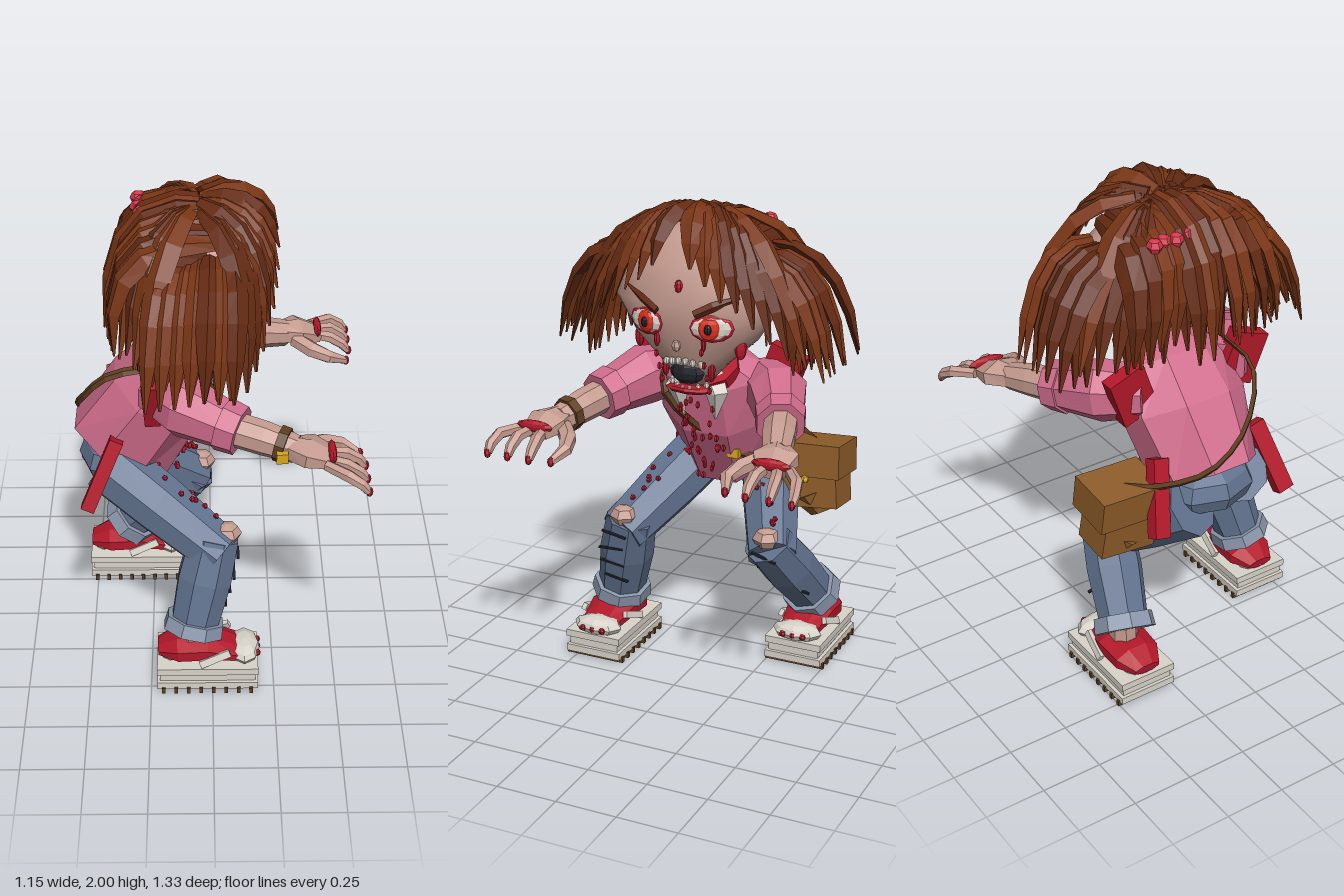
import * as THREE from 'three';

const C = { skin: 0xc69c90, pink: 0xcf6c8c, jean: 0x62738f, cuff: 0x8b97ac, red: 0xb3182a, hair: 0x7a3616, hairDark: 0x642a12,
  white: 0xd9d4ca, brown: 0x8f5d2a, strap: 0x5f3f20, gold: 0xd8a818, black: 0x22242c, eye: 0xe0301c, clip: 0xd8364c };
const V = (a) => new THREE.Vector3(...a);
let seed = 7;
const rnd = () => ((seed = (seed * 16807) % 2147483647) / 2147483647) * 2 - 1;

export function createModel() {
  const root = new THREE.Group();
  root.name = 'character';
  const mats = {};
  const mat = (color, smooth) => (mats[color + '_' + smooth] ??= new THREE.MeshStandardMaterial({ color, flatShading: !smooth }));
  const add = (name, geo, color, smooth = false) => {
    const m = new THREE.Mesh(geo, mat(color, smooth));
    m.name = name;
    root.add(m);
    return m;
  };

  // Closed skin through cross-sections: half-width w sideways, h along "up"
  function sweep(name, pts, sizes, color, n = 8, up = [0, 1, 0], smooth = false) {
    const P = pts.map(V), pos = [], idx = [], U0 = V(up), last = P.length - 1;
    P.forEach((p, i) => {
      const T = P[Math.min(i + 1, last)].clone().sub(P[Math.max(i - 1, 0)]).normalize();
      const S = U0.clone().cross(T).normalize(), U = T.clone().cross(S);
      const s = sizes[Math.min(i, sizes.length - 1)], [w, h] = Array.isArray(s) ? s : [s, s];
      for (let j = 0; j < n; j++) {
        const a = ((j + (n > 4 ? 0.5 : 0)) / n) * Math.PI * 2;
        const q = p.clone().addScaledVector(S, w * Math.cos(a)).addScaledVector(U, h * Math.sin(a));
        pos.push(q.x, q.y, q.z);
      }
    });
    pos.push(...P[0].toArray(), ...P[last].toArray());
    for (let j = 0; j < n; j++) {
      const k = (j + 1) % n;
      for (let i = 0; i < last; i++) {
        const a = i * n + j, b = i * n + k;
        idx.push(a, b, b + n, a, b + n, a + n);
      }
      idx.push((last + 1) * n, k, j, (last + 1) * n + 1, last * n + j, last * n + k);
    }
    const g = new THREE.BufferGeometry();
    g.setAttribute('position', new THREE.Float32BufferAttribute(pos, 3));
    g.setIndex(idx);
    g.computeVertexNormals();
    return add(name, g, color, smooth);
  }
  const box = (name, p, size, color, rot = [0, 0, 0]) => {
    const m = add(name, new THREE.BoxGeometry(...size), color);
    m.position.set(...p);
    m.rotation.set(...rot);
    return m;
  };
  const blob = (name, p, r, color, seg = 8, smooth = false) => {
    const m = add(name, new THREE.SphereGeometry(1, seg, Math.max(4, seg - 2)), color, smooth);
    m.position.set(...p);
    m.scale.set(...r);
    return m;
  };
  const curve = (pts, k) => new THREE.CatmullRomCurve3(pts.map(V)).getPoints(k).map((p) => p.toArray());

  // Leaning torso and hips
  sweep('torso', [[-0.37, 0.87, 0], [-0.22, 1.11, 0], [-0.12, 1.28, 0], [-0.06, 1.36, 0]],
    [[0.23, 0.21], [0.21, 0.26], [0.14, 0.23], [0.07, 0.09]], C.pink, 8, [0, 0, 1]);
  blob('hips', [-0.37, 0.83, 0], [0.17, 0.12, 0.21], C.jean);
  sweep('neck', [[-0.09, 1.26, 0], [0.02, 1.4, 0]], [0.085], C.skin, 8, [0, 0, 1]);
  sweep('neckBand', [[-0.07, 1.28, 0], [-0.04, 1.32, 0]], [[0.12, 0.15]], C.red, 10, [0, 0, 1]);

  // Head, with a helper giving the x of the face surface
  const rings = [[0.04, 1.27, 0.07, 0.07], [0.04, 1.35, 0.1, 0.14], [0.03, 1.46, 0.16, 0.26], [0.02, 1.6, 0.2, 0.35],
    [0, 1.75, 0.17, 0.31], [-0.01, 1.86, 0.11, 0.2], [-0.01, 1.91, 0.03, 0.05]];
  sweep('head', rings.map(([x, y]) => [x, y, 0]), rings.map((r) => [r[2], r[3]]), C.skin, 16, [0, 0, 1], true);
  const faceX = (y, z) => {
    const i = Math.max(1, rings.findIndex((r) => r[1] >= y)), a = rings[i - 1], b = rings[i];
    const [cx, , w, h] = a.map((v, k) => THREE.MathUtils.lerp(v, b[k], (y - a[1]) / (b[1] - a[1])));
    return cx + w * Math.sqrt(Math.max(0, 1 - (z / h) ** 2));
  };
  const onFace = (name, y, z, ry, rz, color, out = 0, thick = 0.015) => {
    const m = blob(name, [faceX(y, z) + out, y, z], [thick, ry, rz], color);
    m.rotation.y = -z * 2.4;
    return m;
  };
  for (const s of [1, -1]) {
    onFace('eyeRim', 1.54, s * 0.14, 0.058, 0.088, C.red);
    onFace('eyeWhite', 1.54, s * 0.14, 0.046, 0.078, C.white, 0.007);
    onFace('iris', 1.54, s * 0.135, 0.045, 0.045, C.eye, 0.016);
    onFace('pupil', 1.54, s * 0.135, 0.022, 0.016, C.black, 0.027);
    sweep('eyebrow', [[0.08, 1.595], [0.15, 1.63], [0.24, 1.665]].map(([z, y]) => [faceX(y, z) + 0.01, y, s * z]),
      [[0.012, 0.018], [0.012, 0.02], 0.006], C.hairDark, 4);
    onFace('cheekBlood', 1.44, s * 0.22, 0.045, 0.024, C.red, 0.004);
    onFace('tearBlood', 1.47, s * 0.1, 0.035, 0.01, C.red);
    for (let k = 0; k < 3; k++) onFace('tooth', 1.383 - k * 0.006, s * (0.015 + k * 0.03), 0.016, 0.013, C.white, 0.012);
    for (let k = 0; k < 3; k++) blob('lowerTooth', [0.125 - k * 0.015, 1.255 + k * 0.008, s * (0.015 + k * 0.03)], [0.012, 0.016, 0.012], C.white, 6);
    onFace('mouthCornerBlood', 1.34, s * 0.1, 0.05, 0.015, C.red);
    // Pointed collar wings
    sweep('collar', [[0, 1.28, s * 0.04], [0.03, 1.22, s * 0.09], [0, 1.1, s * 0.07]], [[0.02, 0.06], [0.02, 0.05], 0.004], C.white, 4, [0, 0, 1]);
  }
  blob('mouth', [0.115, 1.325, 0], [0.035, 0.05, 0.075], C.black);
  blob('jaw', [0.1, 1.25, 0], [0.045, 0.02, 0.1], C.red);
  onFace('foreheadMark', 1.69, 0, 0.028, 0.018, C.red);
  blob('nose', [0.215, 1.46, 0], [0.015, 0.025, 0.02], C.skin, 6);

  // Hair: flat tapering locks bent along a quadratic curve
  const lock = (a, c, b, w) => {
    const pts = new THREE.QuadraticBezierCurve3(V(a), V(c), V(b)).getPoints(5);
    const mid = pts[3].clone().sub(new THREE.Vector3(-0.02, 1.55, 0)).normalize();
    sweep('hairLock', pts.map((p) => p.toArray()), [[w * 0.5, 0.012], [w * 0.85, 0.022], [w, 0.028], [w * 0.9, 0.026], [w * 0.65, 0.02], [0.006, 0.004]],
      rnd() > 0 ? C.hair : C.hairDark, 4, mid.toArray());
  };
  for (const s of [1, -1]) {
    // Sides
    for (let k = 0; k < 7; k++) {
      const x = -0.23 + k * 0.055, j = rnd() * 0.03;
      lock([x * 0.7, 1.8 + j, s * 0.24], [x, 1.84, s * (0.5 + j)], [x - 0.02, 1.37 + j * 1.5, s * (0.58 + j)], 0.05);
      lock([x * 0.6, 1.77 + j, s * 0.27], [x * 0.9, 1.72, s * 0.44], [x * 0.9 - 0.02, 1.34 - j, s * (0.45 + j)], 0.05);
    }
    // Parted fringe
    for (let k = 0; k < 8; k++) {
      const t = k / 7, j = rnd() * 0.02, z = s * (0.08 + 0.43 * t);
      lock([-0.04, 1.95 + j, s * 0.03 * k / 2], [0.2 - 0.05 * t, 2.04 - 0.1 * t, z * 0.75], [0.26 - 0.13 * t * t, 1.77 - 0.37 * t + j, z], 0.055);
    }
    // Bridging locks between crown and sides
    for (let k = 0; k < 4; k++)
      lock([-0.06, 1.94, s * 0.04], [-0.2 - 0.03 * k, 1.98, s * (0.36 - k * 0.05)], [-0.26 - 0.03 * k, 1.45 + rnd() * 0.04, s * (0.5 - k * 0.06)], 0.06);
  }
  // Back
  for (let k = 0; k < 11; k++) {
    const z = -0.3 + k * 0.06, j = rnd() * 0.04;
    lock([0.03, 1.94 - z * z * 0.8, z * 0.75], [-0.42, 2.02 - z * z, z], [-0.38 + j, 1.44 + j, z * 1.1], 0.055);
    lock([-0.02, 1.9 - z * z * 0.8, z * 0.75], [-0.28, 1.94 - z * z, z], [-0.29 + j, 1.38 - j, z], 0.05);
  }
  for (let k = 0; k < 4; k++) blob('hairClip', [-0.28 + (k % 2) * 0.015, 1.875, -0.18 + k * 0.047], [0.035, 0.03, 0.032], C.clip, 6);

  // Arms reaching forward, with clawed hands
  for (const s of [1, -1]) {
    const m = ([x, y, z]) => [x, y, z * s];
    const arm = (name, pts, sizes, color, n) => sweep(name, pts.map(m), sizes, color, n);
    arm('sleeve', [[-0.22, 1.22, 0.18], [-0.1, 1.21, 0.3], [0.06, 1.17, 0.38]], [0.1, 0.125, 0.095], C.pink);
    arm('sleeveCuff', [[0.04, 1.175, 0.37], [0.11, 1.16, 0.4]], [0.108, 0.1], C.pink);
    arm('forearm', [[0.05, 1.17, 0.38], [0.2, 1.145, 0.43], [0.32, 1.12, 0.47]], [0.07, 0.068, 0.056], C.skin);
    arm('palm', [[0.29, 1.125, 0.465], [0.37, 1.125, 0.49], [0.46, 1.1, 0.505]], [0.05, [0.1, 0.05], [0.065, 0.03]], C.skin, 6);
    for (const o of [-0.045, 0.05, 0.14]) {
      const z = 0.505 + o;
      arm('finger', [[0.43, 1.11, 0.5 + o * 0.5], [0.51, 1.1, z - o * 0.1], [0.56, 1.07, z], [0.585, 1.04, z]], [0.022, 0.025, 0.022, 0.016], C.skin, 6);
      blob('nail', m([0.588, 1.04, z]), [0.014, 0.022, 0.014], C.red, 6);
    }
    arm('thumb', [[0.36, 1.11, 0.43], [0.43, 1.09, 0.37], [0.5, 1.07, 0.345], [0.57, 1.04, 0.37]], [0.035, 0.035, 0.028, 0.016], C.skin, 6);
    blob('nail', m([0.572, 1.04, 0.37]), [0.014, 0.022, 0.014], C.red, 6);
    blob('knuckleBlood', m([0.455, 1.13, 0.505]), [0.018, 0.025, 0.08], C.red);
    // Red waistcoat panels on shoulders and hips
    box('shoulderPanel', m([-0.235, 1.25, 0.26]), [0.06, 0.22, 0.16], C.red, [s * 0.35, 0, 0.05]);
    box('hipPanel', m([-0.435, 0.88, 0.265]), [0.055, 0.31, 0.07], C.red, [-s * 0.25, 0, -0.4]);
  }
  sweep('wristStrap', [[0.25, 1.135, 0.446], [0.285, 1.128, 0.458]], [0.072], C.strap);
  box('wristBuckle', [0.265, 1.12, 0.53], [0.045, 0.04, 0.03], C.gold);

  // Staggered bent legs and platform shoes
  const legs = [{ s: 1, hip: [-0.42, 0.85, 0.12], knee: [0, 0.575, 0.32], ankle: [-0.075, 0.24, 0.405], foot: [-0.02, 0.415] },
    { s: -1, hip: [-0.46, 0.81, -0.12], knee: [-0.1, 0.54, -0.285], ankle: [-0.35, 0.25, -0.37], foot: [-0.325, -0.375] }];
  for (const { s, hip, knee, ankle, foot: [fx, fz] } of legs) {
    const lerp = (a, b, t) => V(a).lerp(V(b), t).toArray();
    sweep('thigh', [hip, lerp(hip, knee, 0.5), lerp(hip, knee, 1.1)], [0.13, 0.125, 0.105], C.jean);
    sweep('shin', [lerp(knee, ankle, -0.12), lerp(knee, ankle, 0.4), ankle], [0.105, 0.115, 0.1], C.jean, 8, [1, 0, 0]);
    sweep('trouserCuff', [lerp(knee, ankle, 0.9), lerp(knee, ankle, 1.06)], [0.122, 0.128], C.cuff, 8, [1, 0, 0]);
    blob('kneePatch', [knee[0] + 0.06, knee[1] + 0.06, knee[2]], [0.06, 0.045, 0.06], C.skin, 6);
    for (let k = 0; k < 4; k++) {
      const p = lerp(knee, ankle, 0.05 + k * 0.22);
      box('tear', [p[0] + 0.107, p[1], p[2] + rnd() * 0.03], [0.012, 0.008, 0.11], C.black, [rnd() * 0.3, 0, 0]);
    }
    sweep('ankle', [[ankle[0], 0.14, fz], [ankle[0], 0.27, fz]], [0.06], C.skin, 8, [1, 0, 0]);
    for (let k = 0; k < 3; k++) box('sole', [fx, 0.033 + k * 0.034, fz], [0.41 - (k % 2) * 0.02, 0.03, 0.25 - (k % 2) * 0.025], C.white);
    box('soleCore', [fx, 0.065, fz], [0.38, 0.1, 0.22], C.white);
    for (let k = 0; k < 8; k++) box('tread', [fx - 0.18 + k * 0.051, 0.013, fz], [0.015, 0.026, 0.265], C.strap);
    sweep('shoeUpper', [[-0.2, 0.145], [-0.12, 0.155], [0, 0.165], [0.12, 0.14]].map(([x, y]) => [fx + x, y, fz]),
      [[0.06, 0.02], [0.105, 0.055], [0.11, 0.055], [0.09, 0.03]], C.red);
    blob('toeCap', [fx + 0.15, 0.14, fz], [0.065, 0.04, 0.11], C.white);
    blob('heel', [fx - 0.15, 0.135, fz], [0.05, 0.03, 0.08], C.white);
    for (const t of [1, -1]) box('shoeStripe', [fx + 0.03, 0.155, fz + t * 0.105], [0.13, 0.03, 0.02], C.white, [t * -0.3, 0, 0.4]);
    for (let k = 0; k < 3; k++) blob('toeBlood', [fx + 0.205, 0.14, fz + (k - 1) * 0.045], [0.012, 0.014, 0.015], C.red, 6);
  }

  // Shoulder bag, strap and buckle
  box('bag', [-0.34, 0.79, -0.38], [0.17, 0.24, 0.24], C.brown, [0.1, 0, 0.1]);
  box('bagFlap', [-0.335, 0.88, -0.38], [0.21, 0.14, 0.28], C.brown, [0.05, 0, 0.1]);
  sweep('bagBase', [[-0.33, 0.72, -0.38], [-0.32, 0.64, -0.42]], [[0.1, 0.11], [0.05, 0.05]], C.brown, 6, [1, 0, 0]);
  blob('bagClasp', [-0.225, 0.81, -0.375], [0.015, 0.018, 0.018], C.gold, 6);
  sweep('frontStrap', curve([[-0.17, 1.34, 0.2], [0.02, 1.2, 0.15], [-0.06, 1.02, 0.02], [-0.13, 0.92, -0.1], [-0.23, 0.88, -0.24], [-0.33, 0.93, -0.36]], 14),
    [[0.018, 0.008]], C.strap, 4, [1, 0, 0]);
  sweep('backStrap', curve([[-0.17, 1.34, 0.2], [-0.4, 1.29, 0.2], [-0.52, 1.12, 0.08], [-0.54, 1, -0.1], [-0.44, 0.94, -0.28], [-0.35, 0.93, -0.38]], 14),
    [[0.018, 0.008]], C.strap, 4, [-1, 0, 0.2]);
  box('strapBuckle', [-0.12, 0.92, -0.1], [0.03, 0.04, 0.05], C.gold);

  // Blood drops over shirt and legs
  for (let k = 0; k < 34; k++) {
    const y = 0.98 + rnd() * 0.2;
    blob('shirtBlood', [-0.145 + (y - 0.78) * 0.45, y, rnd() * 0.09], [0.012, 0.016, 0.009], C.red, 5);
  }
  for (let k = 0; k < 20; k++) {
    const { hip, knee } = legs[k % 2], p = V(hip).lerp(V(knee), 0.6 + rnd() * 0.35);
    blob('trouserBlood', [p.x + 0.06, p.y + 0.1, p.z + rnd() * 0.04], [0.012, 0.012, 0.012], C.red, 5);
  }
  for (let k = 0; k < 7; k++) blob('faceDrip', [0.2 - k * 0.013, 1.44 - k * 0.03, (k % 2 ? 1 : -1) * 0.1], [0.01, 0.016, 0.01], C.red, 5);
  return root;
}
